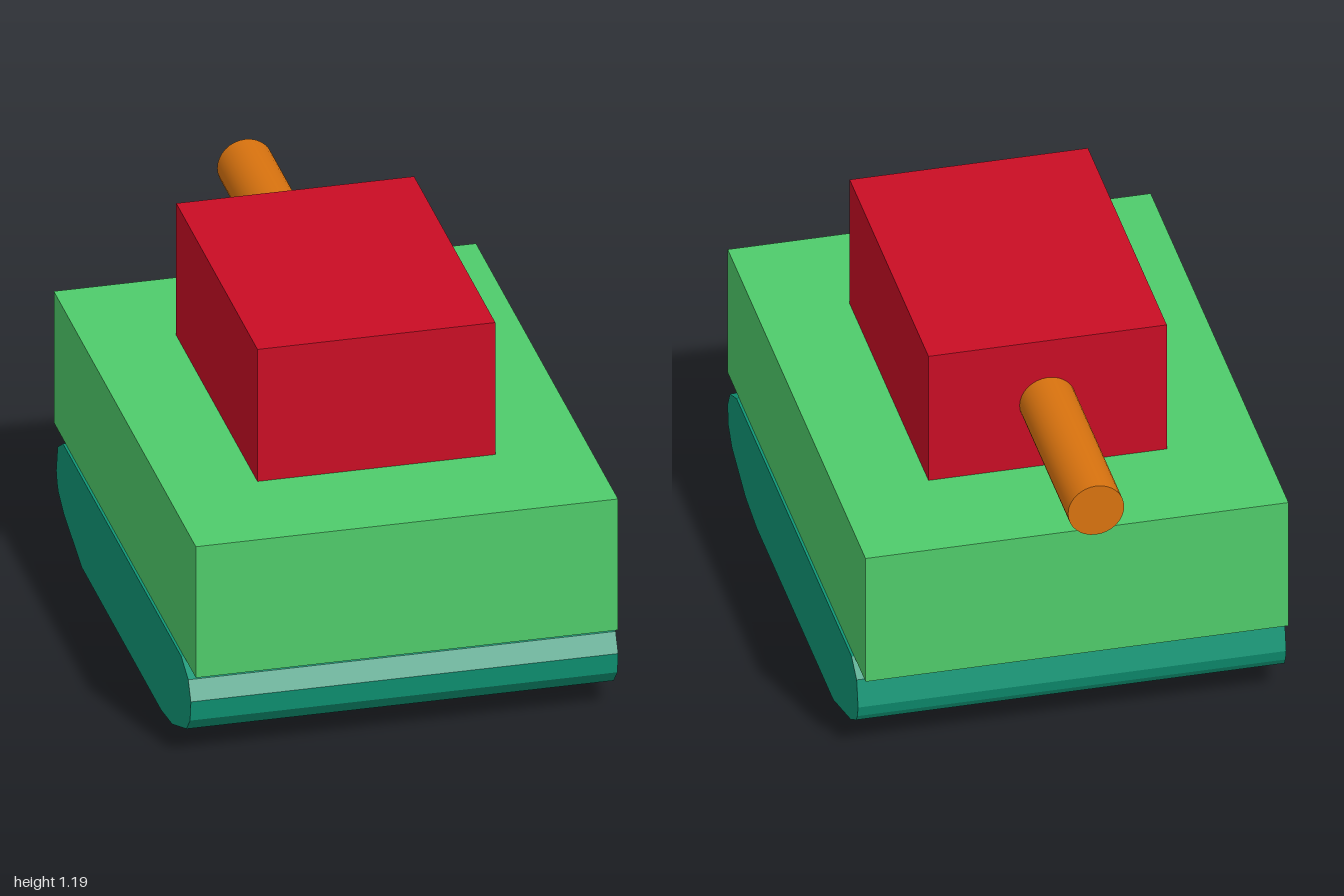
import * as THREE from 'three';

const mat = (color, flatShading = true) => new THREE.MeshStandardMaterial({ color, flatShading });

function part(name, geometry, material, x, y, z) {
  const mesh = new THREE.Mesh(geometry, material);
  mesh.name = name;
  mesh.position.set(x, y, z);
  return mesh;
}

export function createModel() {
  const model = new THREE.Group();
  model.name = 'toyTank';

  // Track block: side profile as (z, y), extruded across the full width
  const profile = [
    [0.60, 0], [0.74, 0.02], [0.915, 0.09], [0.96, 0.14], [0.97, 0.208], [0.938, 0.267], [0.853, 0.303],
    [-0.612, 0.303], [-0.677, 0.26], [-0.695, 0.172], [-0.685, 0.135], [-0.67, 0.112], [-0.60, 0.07], [-0.377, 0],
  ].map(([z, y]) => new THREE.Vector2(z, y));
  const width = 1.326;
  const trackGeo = new THREE.ExtrudeGeometry(new THREE.Shape(profile), { depth: width, bevelEnabled: false });
  trackGeo.translate(0, 0, -width / 2).rotateY(-Math.PI / 2);
  model.add(part('tracks', trackGeo, mat(0x0f9676), 0, 0, 0));

  // Hull
  model.add(part('hull', new THREE.BoxGeometry(1.31, 0.442, 1.757), mat(0x4fcc6b), 0, 0.524, 0.1215));

  // Turret
  model.add(part('turret', new THREE.BoxGeometry(0.738, 0.445, 1.005), mat(0xc90d24), 0, 0.9675, 0.12));

  // Gun barrel, pointing to the back
  const barrelGeo = new THREE.CylinderGeometry(0.087, 0.087, 0.617, 32).rotateX(Math.PI / 2);
  model.add(part('barrel', barrelGeo, mat(0xd9730f, false), 0, 0.971, -0.6915));

  return model;
}
